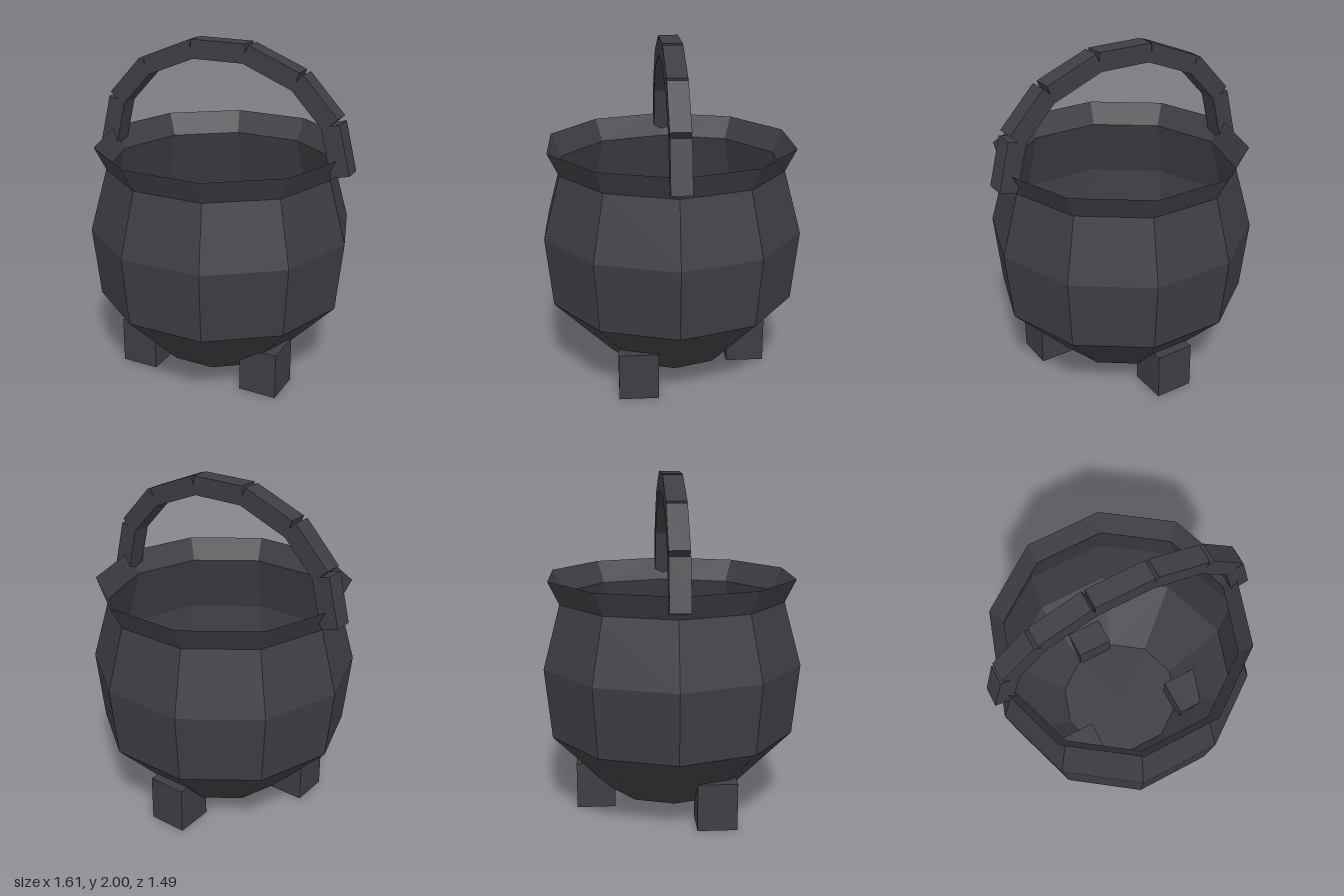
import * as THREE from 'three';

const SIDES = 10;

export function createModel() {
  const model = new THREE.Group();
  model.name = 'cauldron';

  const iron = new THREE.MeshStandardMaterial({ color: 0x3f3d43, flatShading: true });
  iron.name = 'dark iron';
  // The pot is a thin open shell, seen from inside and outside
  const shell = new THREE.MeshStandardMaterial({ color: 0x3f3d43, flatShading: true, side: THREE.DoubleSide });
  shell.name = 'dark iron shell';

  function add(name, geometry, material, parent = model) {
    const flat = geometry.toNonIndexed();
    flat.computeVertexNormals();
    const mesh = new THREE.Mesh(flat, material);
    mesh.name = name;
    parent.add(mesh);
    return mesh;
  }

  // Ten-sided ring wall from [radius, height] pairs, with a corner on +x
  const ring = (profile) => new THREE.LatheGeometry(
    profile.map(([r, y]) => new THREE.Vector2(r, y)), SIDES, Math.PI / 2);

  // Pot: belly, flared rim and flat floor
  add('belly', ring([[0.39, 0.12], [0.74, 0.485], [0.782, 0.9], [0.679, 1.27]]), shell);
  add('rim', ring([[0.679, 1.27], [0.745, 1.405]]), shell);
  add('floor', new THREE.CircleGeometry(0.39, SIDES).rotateX(Math.PI / 2), shell).position.y = 0.12;

  // Three block feet, poking through the sloping base
  const feet = [['leftFoot', 0.4, 0.218], ['rightFoot', -0.395, 0.237], ['backFoot', -0.015, -0.46]];
  for (const [name, x, z] of feet) {
    add(name, new THREE.BoxGeometry(0.23, 0.28, 0.23), iron).position.set(x, 0.14, z);
  }

  // Arched handle of seven straight bars: x, y, length, tilt in degrees
  const handle = new THREE.Group();
  handle.name = 'handle';
  model.add(handle);
  const bars = [[0, 1.945, 0.34, 0], [0.322, 1.882, 0.33, 22], [0.582, 1.713, 0.305, 47], [0.719, 1.457, 0.29, 76]];
  bars.forEach(([x, y, length, tilt], i) => {
    for (const side of i === 0 ? [1] : [1, -1]) {
      const bar = add('handleBar', new THREE.BoxGeometry(length, 0.11, 0.114), iron, handle);
      bar.position.set(side * x, y, 0);
      bar.rotation.z = -side * THREE.MathUtils.degToRad(tilt);
    }
  });

  return model;
}
